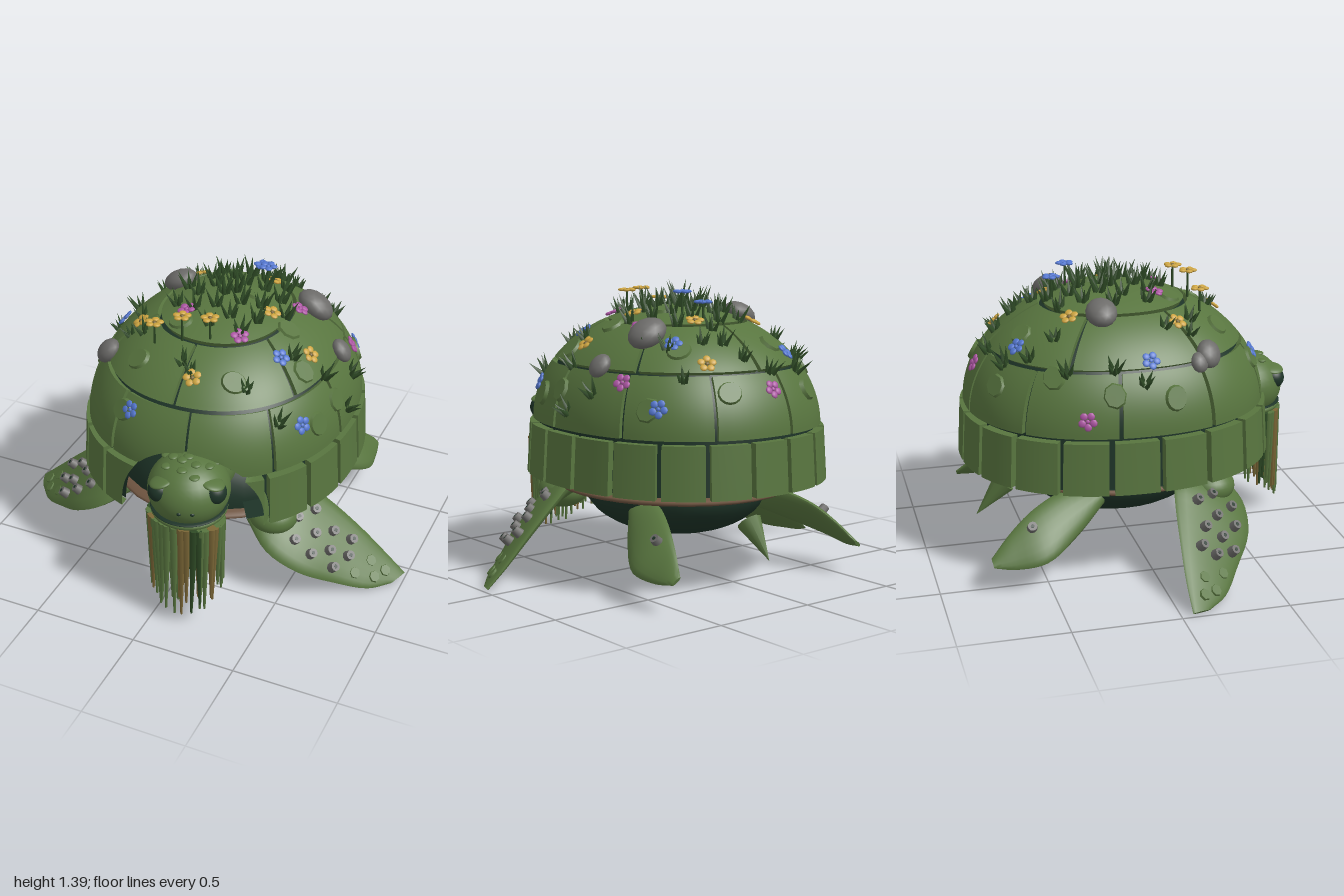
import * as THREE from 'three';
import { toCreasedNormals } from 'three/addons/utils/BufferGeometryUtils.js';

const mat = (name, color, side = THREE.FrontSide) => {
  const m = new THREE.MeshStandardMaterial({ color, side });
  m.name = name;
  return m;
};
const V = (x, y, z) => new THREE.Vector3(x, y, z);
const UP = V(0, 1, 0), TAU = Math.PI * 2;
const RX = 0.63, RY = 0.55, RZ = 0.715, BASE = 0.72, CZ = -0.07, POW = 2.2;
const norm = (a, b) => (Math.abs(a) ** POW + Math.abs(b) ** POW) ** (1 / POW);

export function createModel() {
  const model = new THREE.Group();
  const green = mat('moss green', 0x58753f, THREE.DoubleSide);
  const dark = mat('deep green', 0x1d3327, THREE.DoubleSide);
  const grass = mat('grass green', 0x2e4a25, THREE.DoubleSide);
  const brown = mat('shell brown', 0x6e5440);
  const tan = mat('dry moss', 0x7a6636);
  const grey = mat('stone grey', 0x6c6b69);
  const yellow = mat('petal yellow', 0xcda440);
  const blue = mat('petal blue', 0x5376cf);
  const pink = mat('petal magenta', 0xac55a3);

  let seed = 7;
  const rnd = (a = 0, b = 1) => {
    seed = (seed * 16807) % 2147483647;
    return a + (b - a) * seed / 2147483647;
  };
  const add = (parent, name, geo, material, p = [0, 0, 0], s = [1, 1, 1]) => {
    const m = new THREE.Mesh(geo, material);
    m.name = name;
    m.position.set(...p);
    m.scale.set(...s);
    parent.add(m);
    return m;
  };
  const ball = new THREE.SphereGeometry(1, 32, 20);

  // Shell surface, slightly squared in plan: v 0..1 is the dome, -1..0 the flared rim
  const shell = (t, v, off) => {
    const a = Math.max(v, 0) * Math.PI / 2, r = Math.cos(a), f = Math.min(v, 0) * -0.015;
    const k = 1 / norm(Math.sin(t), Math.cos(t));
    return V((RX * r + f + off * r) * Math.sin(t) * k, BASE + RY * Math.sin(a) + 0.25 * Math.min(v, 0) + off * Math.sin(a),
      (RZ * r + f + off * r) * Math.cos(t) * k + CZ);
  };
  // Vertices inside the neck arch slide out to its edge
  const arched = (t, v, off) => {
    const p = shell(t, v, off), dx = (p.x - 0.11) / 0.33, dy = Math.max(0, (p.y - 0.5) / 0.34);
    const d = Math.hypot(dx, dy);
    if (p.z < 0.2 || d >= 1) return { p, inside: false };
    const k = 1 / Math.max(d, 0.01), y = dy > 0 ? 0.5 + 0.34 * dy * k : p.y, x = 0.11 + 0.33 * dx * k;
    const nv = y > BASE ? Math.asin((y - BASE) / RY) / (Math.PI / 2) : (y - BASE) / 0.25;
    const s = THREE.MathUtils.clamp(x / shell(Math.PI / 2, nv, off).x, -1, 1);
    const c = (1 - Math.abs(s) ** POW) ** (1 / POW);
    return { p: shell(Math.atan2(s, c), nv, off), inside: true };
  };
  // Shell patch with folded-in edges
  const patch = (t0, t1, v0, v1, nt, nv, off, depth) => {
    const steps = (a, b, n) => [a, ...Array.from({ length: n + 1 }, (_, i) => a + (b - a) * i / n), b];
    const ts = steps(t0, t1, nt), vs = steps(v0, v1, nv), pos = [], ins = [], idx = [], w = ts.length;
    vs.forEach((v, j) => ts.forEach((t, i) => {
      const edge = i === 0 || j === 0 || i === w - 1 || j === vs.length - 1;
      const { p, inside } = arched(t, v, edge ? off - depth : off);
      pos.push(p.x, p.y, p.z);
      ins.push(inside);
    }));
    for (let j = 0; j < vs.length - 1; j++) for (let i = 0; i < w - 1; i++) {
      const a = j * w + i, b = a + 1, c = a + w, d = c + 1;
      if (!(ins[a] && ins[b] && ins[c] && ins[d])) idx.push(a, b, d, a, d, c);
    }
    const g = new THREE.BufferGeometry();
    g.setAttribute('position', new THREE.Float32BufferAttribute(pos, 3));
    g.setIndex(idx);
    return toCreasedNormals(g, 0.7);
  };
  add(model, 'shellCore', patch(-Math.PI, Math.PI, -0.96, 1, 120, 50, -0.025, 0), dark);
  const tier = (name, n, start, v0, v1, off, gap) => {
    for (let i = 0; i < n; i++) {
      const a = start + i * TAU / n;
      add(model, name, patch(a + gap, a + TAU / n - gap, v0, v1, Math.round(110 / n), 14, off, off + 0.03), green);
    }
  };
  tier('rimPlate', 20, 0.1, -1, -0.03, 0.015, 0.018);
  tier('lowerShellPlate', 10, 0.16, 0.012, 0.345, 0, 0.014);
  tier('upperShellPlate', 6, 0, 0.365, 0.67, 0, 0.02);
  add(model, 'crownPlate', patch(-Math.PI, Math.PI, 0.69, 1, 48, 10, 0, 0.03), green);

  // Underside and the dark hollow behind the neck
  add(model, 'plastron', ball, brown, [0, 0.425, -0.055], [0.55, 0.052, 0.61]);
  add(model, 'belly', ball, dark, [0, 0.4, -0.07], [0.42, 0.22, 0.46]);
  add(model, 'innerBody', new THREE.SphereGeometry(1, 32, 12, 0, TAU, 0, Math.PI / 2), dark, [0, 0.45, -0.07], [0.54, 0.38, 0.58]);
  add(model, 'shellUnderside', new THREE.RingGeometry(0.75, 1, 48, 1, Math.PI / 2 + 0.6, TAU - 1.2).rotateX(Math.PI / 2), dark,
    [0, 0.485, CZ], [0.635, 1, 0.72]);
  const tail = add(model, 'tail', new THREE.ConeGeometry(0.06, 0.21, 10), green, [0, 0.235, -0.68]);
  tail.quaternion.setFromUnitVectors(UP, V(0, -0.75, -0.66).normalize());

  // Flippers lofted between a leading and a trailing edge
  const frontEdges = [
    [0.3, 0.36, 0.38, 0.32, 0.45, 0.17], [0.43, 0.27, 0.46, 0.5, 0.43, 0.1], [0.58, 0.18, 0.44, 0.59, 0.37, 0.08],
    [0.73, 0.09, 0.34, 0.75, 0.24, 0.06], [0.87, 0.025, 0.24, 0.88, 0.12, 0.05], [0.955, 0.01, 0.14, 0.992, 0.02, 0.05]];
  const rearEdges = [
    [0.36, 0.31, -0.2, 0.28, 0.38, -0.2], [0.5, 0.22, -0.36, 0.34, 0.39, -0.38], [0.6, 0.15, -0.52, 0.42, 0.34, -0.55],
    [0.59, 0.13, -0.66, 0.48, 0.26, -0.67], [0.57, 0.14, -0.76, 0.53, 0.17, -0.765]];
  const flipper = (edges, side) => {
    const curve = k => new THREE.CatmullRomCurve3(edges.map(e => V(e[k] * side, e[k + 1], e[k + 2])));
    const lead = curve(0), trail = curve(3);
    return (t, u) => {
      const a = lead.getPoint(t), b = trail.getPoint(t), s = Math.max(0.01, Math.min(t, 0.98));
      const along = lead.getTangent(s).add(trail.getTangent(s));
      const n = along.cross(b.clone().sub(a)).normalize();
      if (n.y < 0) n.negate();
      return { p: a.lerp(b, u), n };
    };
  };
  const loft = (at, thick, side) => {
    const N = 20, R = 18, pos = [], idx = [];
    for (let j = 0; j <= N; j++) for (let i = 0; i < R; i++) {
      const a = i / R * TAU, { p, n } = at(j / N, 0.5 - 0.5 * Math.cos(a));
      p.addScaledVector(n, Math.sin(a) * (thick * (1 - j / N) + 0.008));
      pos.push(p.x, p.y, p.z);
    }
    const quad = (a, b, c, d) => side > 0 ? idx.push(a, c, b, b, c, d) : idx.push(a, b, c, b, d, c);
    for (let j = 0; j < N; j++) for (let i = 0; i < R; i++) {
      const k = (i + 1) % R;
      quad(j * R + i, j * R + k, (j + 1) * R + i, (j + 1) * R + k);
    }
    for (let i = 1; i < R - 1; i++) idx.push(N * R, N * R + i, N * R + i + 1);
    const g = new THREE.BufferGeometry();
    g.setAttribute('position', new THREE.Float32BufferAttribute(pos, 3));
    g.setIndex(idx);
    return toCreasedNormals(g, 0.9);
  };
  const mount = (name, { p, n }) => {
    const g = new THREE.Group();
    g.name = name;
    g.position.copy(p);
    g.quaternion.setFromUnitVectors(UP, n);
    model.add(g);
    return g;
  };
  const cup = new THREE.CylinderGeometry(0.022, 0.027, 0.045, 9);
  const barnacle = (at, t, u, lift) => {
    const g = mount('barnacle', at(t, u));
    add(g, 'barnacleCup', cup, grey, [0, lift, 0]);
    add(g, 'barnacleHole', new THREE.CylinderGeometry(0.009, 0.009, 0.006, 8), dark, [0, lift + 0.021, 0]);
  };
  for (const side of [1, -1]) {
    const front = flipper(frontEdges, side), rear = flipper(rearEdges, side);
    add(model, 'frontFlipper', loft(front, 0.04, side), green);
    add(model, 'rearFlipper', loft(rear, 0.045, side), green);
    add(model, 'shoulder', ball, green, [0.4 * side, 0.37, 0.3], [0.12, 0.085, 0.12]);
    [[0.25, 0.55], [0.3, 0.3], [0.33, 0.75], [0.4, 0.5], [0.42, 0.25], [0.48, 0.65], [0.5, 0.4], [0.55, 0.2], [0.58, 0.7], [0.6, 0.45]]
      .forEach(([t, u]) => barnacle(front, t, u, 0.037));
    [[0.68, 0.25], [0.74, 0.6], [0.8, 0.3], [0.86, 0.55]].forEach(([t, u]) =>
      add(mount('flipperScale', front(t, u)), 'scale', new THREE.CylinderGeometry(0.026, 0.032, 0.02, 7), green, [0, 0.012, 0]));
    barnacle(rear, 0.55, 0.7, 0.03);
  }

  // Head and neck
  const head = new THREE.Group();
  head.name = 'head';
  head.position.set(0.12, 0.67, 0.63);
  head.rotation.y = 0.35;
  model.add(head);
  add(head, 'skull', ball, green, [0, 0, 0], [0.19, 0.165, 0.195]);
  add(head, 'mouthLine', ball, dark, [0, -0.085, 0.005], [0.178, 0.014, 0.186]);
  add(head, 'jaw', ball, green, [0, -0.1, 0], [0.178, 0.05, 0.186]);
  const neck = add(model, 'neck', new THREE.CylinderGeometry(0.14, 0.16, 0.3, 24), green, [0.09, 0.64, 0.42]);
  neck.rotation.x = Math.PI / 2;
  for (const s of [1, -1]) {
    add(head, 'eye', ball, dark, [0.122 * s, 0.045, 0.095], [0.056, 0.056, 0.056]);
    const lid = add(head, 'eyelid', ball, green, [0.115 * s, 0.092, 0.095], [0.055, 0.016, 0.055]);
    lid.rotation.z = -0.25 * s;
    add(head, 'nostril', ball, dark, [0.03 * s, -0.015, 0.191], [0.01, 0.008, 0.006]);
  }
  for (let i = 0; i < 14; i++) {
    const a = i * 2.4, r = 0.035 * Math.sqrt(i), y = 0.165 * Math.sqrt(1 - (r / 0.19) ** 2);
    add(head, 'headScale', ball, green, [r * Math.cos(a), y, r * Math.sin(a)], [0.024, 0.009, 0.024]);
  }

  // Hanging moss beard
  const strand = new THREE.CylinderGeometry(0.022, 0.005, 1, 6).translate(0, -0.5, 0);
  for (let i = 0; i < 60; i++) {
    const a = i * 2.4, r = i < 40 ? 1 : 0.6, f = Math.sin(a);
    const m = add(model, 'beardStrand', strand, [green, tan, green, grass, tan, green, green][i % 7],
      [0.13 + 0.17 * r * Math.cos(a), 0.56, 0.69 + 0.108 * r * f], [1, rnd(0.33, 0.42) + 0.08 * f * r, 1]);
    m.rotation.z = rnd(-0.03, 0.03);
    m.rotation.x = -0.03 * f;
  }

  // Points on the dome found from above
  const onDome = (x, z) => {
    let a = x / RX, c = (z - CZ) / RZ;
    const k = Math.min(1, 0.985 / Math.max(norm(a, c), 0.001));
    a *= k; c *= k;
    const h = Math.sqrt(1 - norm(a, c) ** 2);
    return { p: V(a * RX, BASE + RY * h, c * RZ + CZ), n: V(a / RX, h / RY, c / RZ).normalize() };
  };

  // Rocks and low shell bumps
  [[-0.29, -0.19, 0.085], [0.34, -0.3, 0.095], [0.52, -0.19, 0.06], [-0.45, 0.26, 0.07], [-0.49, 0.21, 0.05]].forEach(([x, z, r]) => {
    const g = mount('rock', onDome(x, z));
    add(g, 'stone', new THREE.IcosahedronGeometry(1, 2), grey, [0, r * 0.25, 0], [r, r * 0.6, r * 0.85]);
  });
  [[0.23, 0.38], [0.33, -0.02], [-0.13, 0.17], [0.46, 0.12], [-0.25, 0.37], [-0.18, -0.54], [0.3, -0.47], [0.59, 0.03], [0.57, 0.2],
    [-0.58, -0.2], [-0.59, 0.08], [-0.46, -0.45], [0.2, -0.7], [-0.28, -0.68], [-0.25, 0.54], [0.5, -0.5], [0.12, -0.15]].forEach(([x, z], i) =>
    add(mount('shellBump', onDome(x, z)), 'bump', new THREE.CylinderGeometry(0.85, 1, 1, i % 2 ? 8 : 14), green, [0, 0.002, 0], [0.062, 0.018, 0.055]));

  // Five-petalled flowers, flat on the shell or raised on a stalk
  const petal = new THREE.SphereGeometry(1, 8, 6);
  const flower = (x, z, m, stalk = 0) => {
    const o = onDome(x, z);
    if (stalk) o.n = UP;
    const g = mount('flower', o), y = stalk || 0.012;
    if (stalk) add(g, 'stalk', new THREE.CylinderGeometry(0.005, 0.006, stalk, 5), grass, [0, stalk / 2, 0]);
    for (let i = 0; i < 5; i++) {
      const a = i * TAU / 5 + x * 9;
      add(g, 'petal', petal, m, [0.027 * Math.cos(a), y, 0.027 * Math.sin(a)], [0.018, 0.008, 0.018]);
    }
    add(g, 'flowerHeart', petal, m === yellow ? tan : m, [0, y, 0], [0.01, 0.007, 0.01]);
  };
  [[0.24, -0.59], [-0.25, -0.33], [0.12, -0.36], [0.23, -0.05], [-0.34, 0.15], [0.05, 0.43], [0.45, 0.02]].forEach(p => flower(...p, yellow));
  [[0.47, -0.54], [-0.51, -0.02], [-0.2, 0.55], [0.36, 0.16], [0.52, 0.29], [-0.24, -0.57], [0.3, -0.43]].forEach(p => flower(...p, blue));
  [[-0.02, -0.73], [0.31, -0.2], [-0.6, -0.33], [0.17, 0.18], [0.52, -0.35], [-0.13, 0.1]].forEach(p => flower(...p, pink));
  [[-0.2, 0.3, 0.11], [-0.07, 0.28, 0.13], [0.05, 0.24, 0.11]].forEach(([x, z, h]) => flower(x, z, yellow, h));
  [[0.06, -0.35, 0.08], [0.12, -0.27, 0.11]].forEach(([x, z, h]) => flower(x, z, blue, h));

  // Grass tufts, close on the crown and sparse lower down
  const blade = new THREE.ConeGeometry(0.014, 1, 4).translate(0, 0.5, 0);
  const tuft = (x, z, h) => {
    const g = mount('grassTuft', onDome(x, z));
    g.quaternion.slerp(new THREE.Quaternion(), 0.5);
    for (let i = 0; i < 5; i++) {
      const a = i * TAU / 5 + rnd(), b = add(g, 'blade', blade, grass, [0.012 * Math.cos(a), -0.01, 0.012 * Math.sin(a)], [1, h * rnd(0.7, 1.1), 1]);
      b.quaternion.setFromUnitVectors(UP, V(Math.cos(a) * 0.4, 1, Math.sin(a) * 0.4).normalize());
    }
  };
  for (let i = 0; i < 25; i++) {
    const a = i * 2.4, r = Math.sqrt(i / 25);
    tuft(0.02 + 0.29 * r * Math.cos(a), -0.13 + 0.33 * r * Math.sin(a), 0.135 - 0.04 * r);
  }
  for (let i = 0; i < 28; i++) {
    const a = i * 2.4 + 0.5, r = rnd(0.6, 1);
    if (r < 0.8 || Math.cos(a) < 0.7) tuft(0.63 * r * Math.sin(a), CZ + 0.71 * r * Math.cos(a), rnd(0.07, 0.1));
  }
  return model;
}
